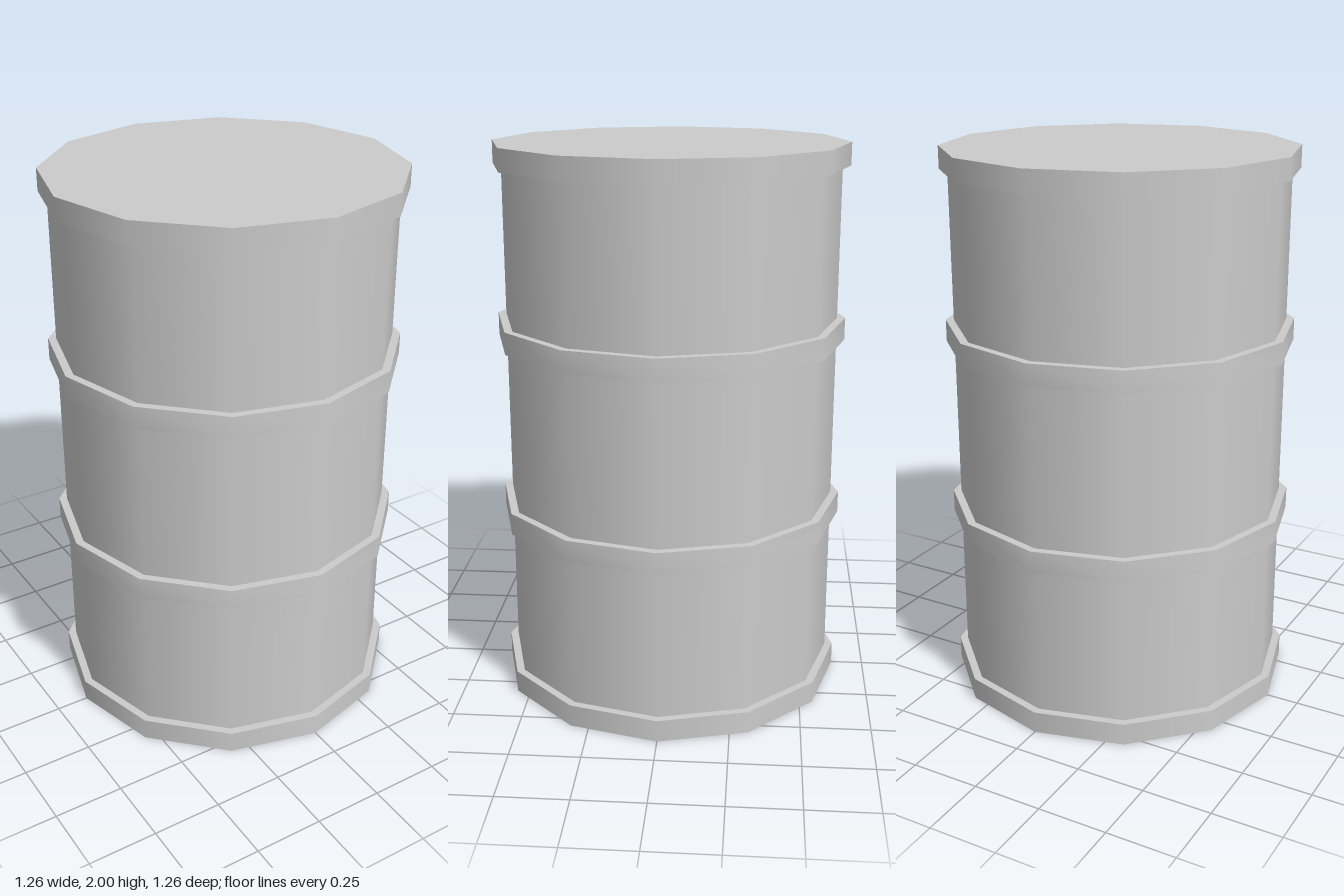
import * as THREE from 'three';
import { toCreasedNormals } from 'three/addons/utils/BufferGeometryUtils.js';

const SIDES = 12;
const BODY_RADIUS = 0.603;
const BAND_RADIUS = 0.632;
const BAND_HEIGHT = 0.08;

export function createModel() {
  const group = new THREE.Group();
  const material = new THREE.MeshStandardMaterial({ color: 0xcccccc });

  const add = (name, geometry, y = 0) => {
    const mesh = new THREE.Mesh(geometry, material);
    mesh.name = name;
    mesh.position.y = y;
    group.add(mesh);
  };

  // Barrel wall, closed by the two end caps
  const wallHeight = 2 - BAND_HEIGHT;
  add('barrelWall', new THREE.CylinderGeometry(BODY_RADIUS, BODY_RADIUS, wallHeight, SIDES, 1, true), 1);

  // Bottom and lid: solid discs with a projecting rim
  const cap = new THREE.CylinderGeometry(BAND_RADIUS, BAND_RADIUS, BAND_HEIGHT, SIDES);
  add('bottomCap', cap, BAND_HEIGHT / 2);
  add('lid', cap, 2 - BAND_HEIGHT / 2);

  // Two hoops around the wall, smooth around and sharp at the edges
  const h = BAND_HEIGHT / 2;
  const profile = [
    [BODY_RADIUS - 0.01, -h], [BAND_RADIUS, -h], [BAND_RADIUS, h], [BODY_RADIUS - 0.01, h],
  ].map(([r, y]) => new THREE.Vector2(r, y));
  const hoop = toCreasedNormals(new THREE.LatheGeometry(profile, SIDES), Math.PI / 4);
  add('lowerHoop', hoop, 0.67);
  add('upperHoop', hoop, 1.337);

  return group;
}
